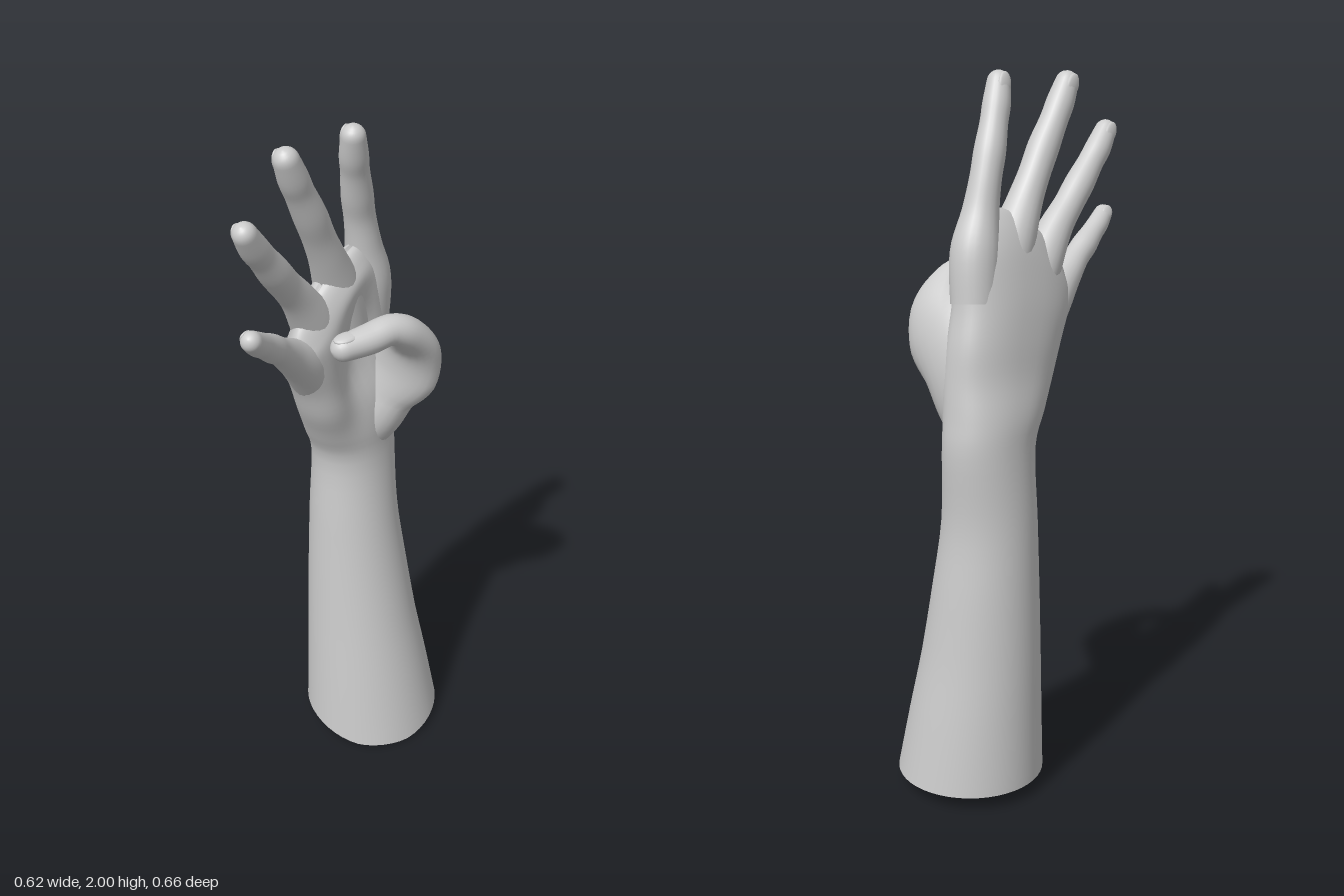
import * as THREE from 'three';

const V = (x, y, z) => new THREE.Vector3(x, y, z);
// Hand axes: ACROSS runs from little finger to index, PALM points out of the palm
const ACROSS = V(1, 0, -1).normalize();
const PALM = V(1, 0, 1).normalize();
const SIDES = 32;

const material = new THREE.MeshStandardMaterial({ color: 0xcccccc, side: THREE.DoubleSide });

// Smooth interpolation through rows of numbers, t from 0 to 1
function sample(rows, t) {
  const s = t * (rows.length - 1);
  const i = Math.min(Math.floor(s), rows.length - 2);
  const f = s - i;
  const row = k => rows[THREE.MathUtils.clamp(k, 0, rows.length - 1)];
  return rows[0].map((_, c) => {
    const [a, b, d, e] = [row(i - 1)[c], row(i)[c], row(i + 1)[c], row(i + 2)[c]];
    return b + 0.5 * f * (d - a + f * (2 * a - 5 * b + 4 * d - e + f * (3 * (b - d) + e - a)));
  });
}

// Skin over a list of closed rings; the last ring is closed with a fan
function skin(rings) {
  const n = rings[0].length;
  const points = rings.flat();
  const index = [];
  for (let i = 0; i < rings.length - 1; i++) {
    for (let j = 0; j < n; j++) {
      const k = (j + 1) % n;
      const a = i * n + j, b = i * n + k, c = b + n, d = a + n;
      index.push(a, b, c, a, c, d);
    }
  }
  const last = rings[rings.length - 1];
  points.push(last.reduce((sum, p) => sum.add(p), V(0, 0, 0)).divideScalar(n));
  const base = (rings.length - 1) * n;
  for (let j = 0; j < n; j++) index.push(base + j, base + (j + 1) % n, points.length - 1);
  const geometry = new THREE.BufferGeometry().setFromPoints(points);
  geometry.setIndex(index);
  geometry.computeVertexNormals();
  return geometry;
}

function mesh(name, geometry) {
  const m = new THREE.Mesh(geometry, material);
  m.name = name;
  return m;
}

// Forearm and palm: y, centre across, half width, centre depth, half depth,
// slant of the ring towards the knuckles, squareness, hollow of the palm
const BODY = [
  [0.00, 0.160, 0.208, -0.018, 0.211, 0, 2, 0],
  [0.20, 0.154, 0.189, -0.034, 0.191, 0, 2, 0],
  [0.40, 0.147, 0.169, -0.051, 0.170, 0, 2, 0],
  [0.60, 0.142, 0.152, -0.066, 0.149, 0, 2, 0],
  [0.80, 0.138, 0.137, -0.078, 0.129, 0, 2, 0],
  [1.00, 0.148, 0.138, -0.087, 0.110, 0, 2.1, 0],
  [1.10, 0.125, 0.154, -0.084, 0.109, 0, 2.2, 0.01],
  [1.20, 0.096, 0.174, -0.074, 0.104, 0.1, 2.3, 0.03],
  [1.30, 0.074, 0.186, -0.074, 0.096, 0.25, 2.4, 0.045],
  [1.40, 0.047, 0.194, -0.070, 0.088, 0.5, 2.4, 0.045],
  [1.50, 0.028, 0.203, -0.062, 0.076, 0.8, 2.3, 0.02],
  [1.56, 0.016, 0.190, -0.058, 0.062, 1, 2.1, 0],
  [1.60, 0.010, 0.168, -0.056, 0.044, 1, 2, 0],
  [1.625, 0.008, 0.140, -0.055, 0.024, 1, 2, 0],
  [1.632, 0.008, 0.110, -0.055, 0.006, 1, 2, 0],
];

function forearmAndPalm() {
  const rings = [];
  const steps = (BODY.length - 1) * 4;
  for (let i = 0; i <= steps; i++) {
    const [y, cu, hu, cn, hn, slant, square, hollow] = sample(BODY, i / steps);
    const ring = [];
    for (let j = 0; j < SIDES * 1.5; j++) {
      const a = j / (SIDES * 1.5) * Math.PI * 2;
      const round = v => Math.sign(v) * Math.abs(v) ** (2 / square);
      const u = cu + hu * round(Math.cos(a));
      let n = cn - hn * round(Math.sin(a));
      if (Math.sin(a) < 0) n += hollow * Math.sin(a) * Math.exp(-(((u - 0.05) / 0.08) ** 2));
      const p = ACROSS.clone().multiplyScalar(u).addScaledVector(PALM, n);
      const w = u - 0.04;
      p.y = y + slant * (0.42 * w - (w > 0 ? 2.6 : 1.2) * w * w);
      // Wavy open rim at the cut end
      const front = Math.max(0, (p.z + 0.13) / 0.2);
      p.y += 0.042 * (1 - Math.min(1, front * front)) * Math.max(0, 1 - y / 0.4);
      ring.push(p);
    }
    rings.push(ring);
  }
  return mesh('forearmAndPalm', skin(rings));
}

// A digit swept along [x, y, z, thickness radius, width radius] rows,
// with a round tip and a nail
function digit(name, rows, sideAxis) {
  const at = t => V(...sample(rows, t).slice(0, 3));
  const frame = t => {
    const T = at(Math.min(1, t + 0.01)).sub(at(Math.max(0, t - 0.01))).normalize();
    const a = sideAxis.clone().addScaledVector(T, -sideAxis.dot(T)).normalize();
    return { T, a, b: T.clone().cross(a) };
  };
  const ellipse = (c, { a, b }, r, wide) => Array.from({ length: SIDES * 0.75 }, (_, j) => {
    const q = j / (SIDES * 0.75) * Math.PI * 2;
    return c.clone().addScaledVector(a, wide * Math.cos(q)).addScaledVector(b, r * Math.sin(q));
  });
  const rings = [];
  const steps = (rows.length - 1) * 5;
  for (let i = 0; i <= steps; i++) {
    const t = i / steps;
    const [, , , r, wide = r] = sample(rows, t);
    rings.push(ellipse(at(t), frame(t), r, wide));
  }
  const end = frame(1), c = at(1), r = rows[rows.length - 1][3];
  for (let i = 1; i <= 5; i++) {
    const q = i / 5.3 * Math.PI / 2;
    const ringRadius = r * Math.cos(q);
    rings.push(ellipse(c.clone().addScaledVector(end.T, r * Math.sin(q)), end, ringRadius, ringRadius));
  }
  const group = new THREE.Group();
  group.name = name;
  group.add(mesh(name + 'Flesh', skin(rings)));

  const nail = new THREE.SphereGeometry(1, 16, 10);
  nail.scale(0.68 * r, 1.05 * r, 0.28 * r);
  nail.applyMatrix4(new THREE.Matrix4().makeBasis(end.a, end.T, end.b));
  const spot = c.clone().addScaledVector(end.T, -0.3 * r).addScaledVector(end.b, -0.78 * r);
  nail.translate(spot.x, spot.y, spot.z);
  group.add(mesh(name + 'Nail', nail));
  return group;
}

// Rows run from inside the palm to the tip, thicker at each joint
const FINGERS = {
  indexFinger: [
    [0.078, 1.40, -0.175, 0.066], [0.078, 1.53, -0.160, 0.067], [0.064, 1.635, -0.138, 0.050],
    [0.051, 1.72, -0.121, 0.043], [0.040, 1.79, -0.099, 0.043], [0.030, 1.86, -0.073, 0.038],
    [0.023, 1.91, -0.052, 0.038], [0.018, 1.965, -0.031, 0.032]],
  middleFinger: [
    [0.010, 1.42, -0.108, 0.066], [-0.015, 1.54, -0.077, 0.065], [-0.050, 1.65, -0.027, 0.050],
    [-0.077, 1.725, 0.005, 0.044], [-0.102, 1.795, 0.036, 0.044], [-0.130, 1.865, 0.066, 0.039],
    [-0.148, 1.912, 0.088, 0.039], [-0.166, 1.965, 0.110, 0.033]],
  ringFinger: [
    [-0.060, 1.38, -0.045, 0.064], [-0.092, 1.48, -0.003, 0.063], [-0.136, 1.575, 0.048, 0.048],
    [-0.172, 1.635, 0.089, 0.042], [-0.205, 1.692, 0.130, 0.042], [-0.236, 1.747, 0.166, 0.037],
    [-0.259, 1.787, 0.194, 0.037], [-0.281, 1.835, 0.224, 0.031]],
  littleFinger: [
    [-0.095, 1.31, -0.010, 0.060], [-0.130, 1.39, 0.042, 0.060], [-0.172, 1.447, 0.104, 0.045],
    [-0.200, 1.485, 0.150, 0.037], [-0.224, 1.515, 0.188, 0.037], [-0.248, 1.546, 0.230, 0.032],
    [-0.266, 1.568, 0.262, 0.031], [-0.283, 1.595, 0.297, 0.027]],
};

// The thumb's root is wide, so it also forms the ball and the web to the index
const THUMB = [
  [0.050, 1.00, -0.163, 0.070, 0.060], [0.090, 1.11, -0.152, 0.083, 0.098],
  [0.124, 1.21, -0.142, 0.076, 0.116], [0.165, 1.30, -0.102, 0.062, 0.128],
  [0.182, 1.375, -0.050, 0.052, 0.090], [0.152, 1.437, 0.008, 0.046, 0.053],
  [0.105, 1.460, 0.033, 0.042, 0.043], [0.045, 1.450, 0.056, 0.041, 0.043],
  [-0.025, 1.442, 0.080, 0.036, 0.036]];

export function createModel() {
  const model = new THREE.Group();
  model.name = 'hand';
  model.add(forearmAndPalm());
  for (const [name, rows] of Object.entries(FINGERS)) {
    model.add(digit(name, rows, ACROSS.clone().negate()));
  }
  model.add(digit('thumb', THUMB, PALM.clone().negate()));
  return model;
}
